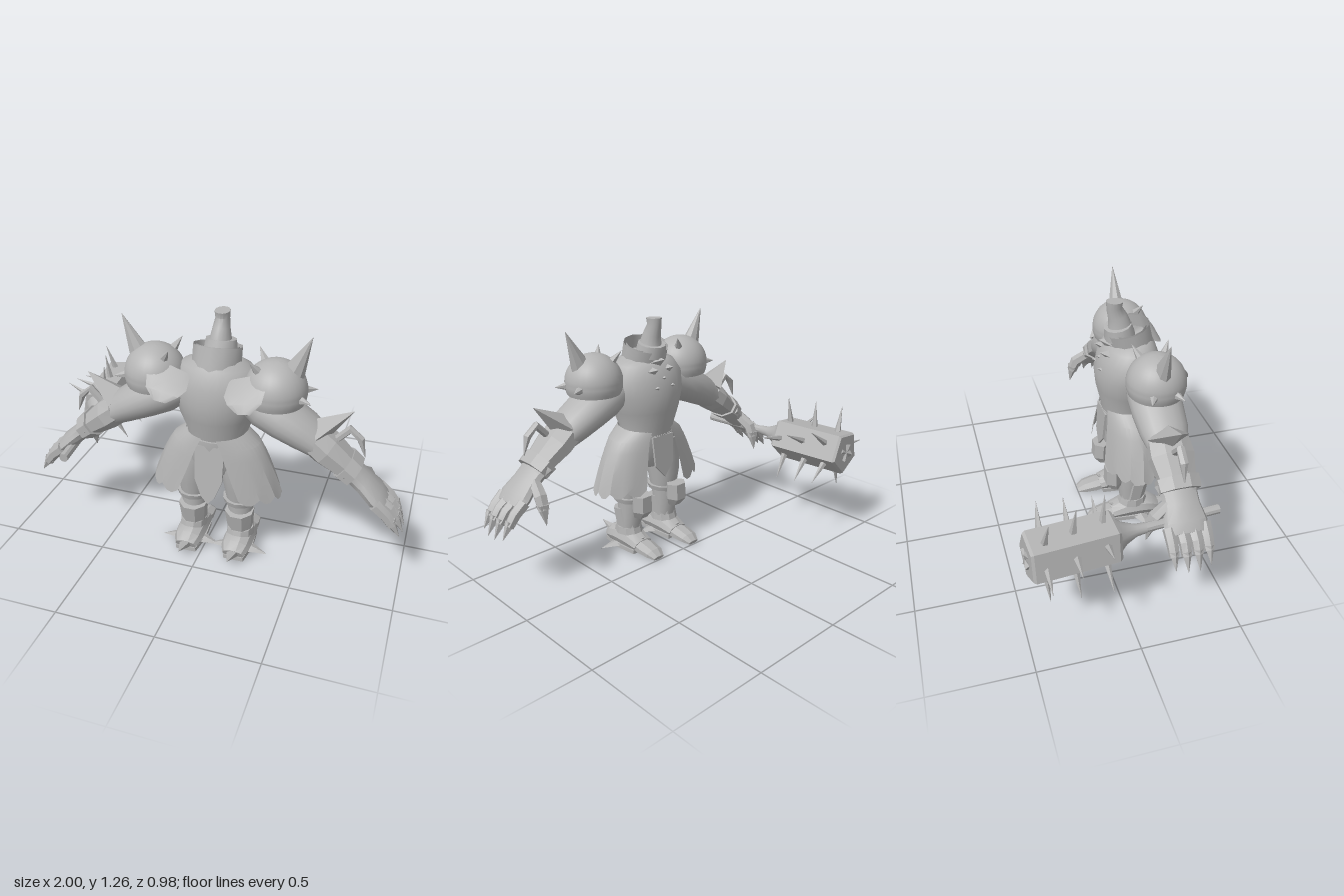
import * as THREE from 'three';
import { toCreasedNormals } from 'three/addons/utils/BufferGeometryUtils.js';

const CX = 0.05; // the body's own centre line
const steel = new THREE.MeshStandardMaterial({ color: 0xb4b4b4, side: THREE.DoubleSide });
steel.name = 'steel grey';

export function createModel() {
  const model = new THREE.Group();
  model.name = 'armouredWarrior';
  const V = (a) => new THREE.Vector3(a[0], a[1], a[2]);

  function add(name, geometry, crease = 0.8) {
    const mesh = new THREE.Mesh(toCreasedNormals(geometry, crease), steel);
    mesh.name = name;
    model.add(mesh);
    return mesh;
  }

  // Skin elliptical rings [x, y, z, radius across, radius in depth] along a path
  function loft(name, rings, sides = 16, crease = 0.8, phase = 0, capTop = true) {
    const pos = [], idx = [], n = rings.length;
    rings.forEach((r, i) => {
      const t = V(rings[Math.min(i + 1, n - 1)]).sub(V(rings[Math.max(i - 1, 0)])).normalize();
      const w = Math.abs(t.z) > 0.9 ? new THREE.Vector3(0, 1, 0) : new THREE.Vector3(0, 0, 1);
      w.addScaledVector(t, -w.dot(t)).normalize();
      const u = t.clone().cross(w);
      for (let j = 0; j < sides; j++) {
        const a = phase + (j / sides) * Math.PI * 2;
        const p = V(r).addScaledVector(u, Math.cos(a) * r[3]).addScaledVector(w, Math.sin(a) * (r[4] ?? r[3]));
        pos.push(p.x, p.y, p.z);
      }
    });
    for (let i = 0; i < n - 1; i++) for (let j = 0; j < sides; j++) {
      const k = (j + 1) % sides, a = i * sides, b = a + sides;
      idx.push(a + j, b + j, a + k, a + k, b + j, b + k);
    }
    const c = n * sides, last = c - sides;
    pos.push(...rings[0].slice(0, 3), ...rings[n - 1].slice(0, 3));
    for (let j = 0; j < sides; j++) {
      const k = (j + 1) % sides;
      idx.push(c, j, k);
      if (capTop) idx.push(c + 1, last + k, last + j);
    }
    const g = new THREE.BufferGeometry();
    g.setAttribute('position', new THREE.Float32BufferAttribute(pos, 3));
    g.setIndex(idx);
    return add(name, g, crease);
  }

  const spike = (name, base, tip, r, sides = 6, rw = r) =>
    loft(name, [[...base, r, rw], [...tip, 0.001, 0.001]], sides, 0.1);

  // Thin plate cut from an outline in the xy plane
  function plate(name, pts, depth, x, y, z, tilt) {
    const shape = new THREE.Shape(pts.map((p) => new THREE.Vector2(p[0], p[1])));
    const mesh = add(name, new THREE.ExtrudeGeometry(shape, { depth, bevelEnabled: false }), 0.1);
    mesh.position.set(x, y, z);
    mesh.rotation.x = tilt;
  }

  // Torso, hips, tilted collar and the horn rising from the neck
  loft('torso', [[CX, 0.6, 0.23, 0.15, 0.12], [CX, 0.68, 0.23, 0.15, 0.13], [CX, 0.78, 0.235, 0.185, 0.16],
    [CX, 0.87, 0.235, 0.21, 0.17], [CX, 0.96, 0.24, 0.215, 0.155], [CX, 1.03, 0.24, 0.17, 0.125],
    [CX, 1.06, 0.235, 0.11, 0.1]], 28, 1);
  loft('hips', [[CX, 0.47, 0.24, 0.12, 0.1], [CX, 0.55, 0.24, 0.17, 0.13], [CX, 0.66, 0.235, 0.16, 0.135]], 20);
  loft('collar', [[CX, 0.98, 0.26, 0.12, 0.115], [CX, 1.118, 0.225, 0.119, 0.115]], 12, 0.6, 0, false);
  loft('collarLining', [[CX, 1.04, 0.245, 0.1, 0.095], [CX, 1.118, 0.225, 0.105, 0.1]], 12, 0.6, 0, false);
  loft('neckBand', [[CX, 1.07, 0.19, 0.085, 0.08], [CX, 1.13, 0.178, 0.075, 0.07]], 12, 0.6);
  loft('horn', [[CX, 1.06, 0.195, 0.07, 0.075], [CX, 1.13, 0.188, 0.052, 0.06], [CX, 1.18, 0.175, 0.042, 0.048],
    [CX, 1.225, 0.158, 0.034, 0.039], [CX, 1.262, 0.16, 0.037, 0.043]], 16, 0.8);

  // Jagged plates down the nape
  for (let i = 0; i < 4; i++) {
    const y = 1.06 - i * 0.045, back = [0.083, 0.075, 0.07, 0.062][i];
    for (const dx of i % 2 ? [-0.05, 0.05] : [0]) {
      spike('napeSpine', [CX + dx, y - 0.03, 0.16], [CX + dx, y, back], 0.065, 4, 0.045);
    }
  }

  // Tabards in front and behind
  plate('frontTabard', [[-0.075, 0], [0.075, 0], [0.07, -0.18], [0.035, -0.27], [0, -0.31], [-0.035, -0.27], [-0.07, -0.18]],
    0.012, CX, 0.64, 0.355, -0.12);
  plate('rearTabard', [[-0.07, 0], [0.07, 0], [0.06, -0.16], [0, -0.23], [-0.06, -0.16]], 0.012, CX, 0.65, 0.1, 0.06);

  // Flared side panel of the skirt with a ragged hem
  function skirtPanel(s) {
    const cols = 18, rows = 6, pos = [], idx = [];
    for (let i = 0; i <= rows; i++) for (let j = 0; j <= cols; j++) {
      const v = i / rows, u = j / cols;
      const phi = 0.25 + 0.24 * v + u * (2.5 - 0.25 * v);
      const hem = v * v * (j % 3 === 0 ? 0.02 : -0.008);
      const rx = 0.15 + 0.185 * Math.pow(v, 0.55), rz = 0.14 + 0.035 * v;
      pos.push(CX + s * rx * Math.sin(phi), 0.69 - 0.33 * v + hem, 0.245 + rz * Math.cos(phi));
      if (i < rows && j < cols) {
        const a = i * (cols + 1) + j, b = a + cols + 1;
        idx.push(...(s > 0 ? [a, b, a + 1, a + 1, b, b + 1] : [a, a + 1, b, a + 1, b + 1, b]));
      }
    }
    const g = new THREE.BufferGeometry();
    g.setAttribute('position', new THREE.Float32BufferAttribute(pos, 3));
    g.setIndex(idx);
    add('skirtPanel', g, 0.4);
  }

  for (const s of [1, -1]) {
    const M = ([x, ...rest]) => [CX + s * x, ...rest];
    const L = (name, rings, ...o) => loft(name, rings.map(M), ...o);
    const K = (name, base, tip, ...o) => spike(name, M(base), M(tip), ...o);
    skirtPanel(s);

    // Shoulder dome with one great spike and four small ones
    const ball = [0.295, 0.96, 0.285];
    add('shoulderDome', new THREE.SphereGeometry(0.148, 28, 18, 0, Math.PI * 2, 0, Math.PI * 0.62), 1)
      .position.set(...M(ball));
    K('greatSpike', [0.37, 1.045, 0.285], [0.452, 1.237, 0.285], 0.056, 8, 0.042);
    for (const tip of [[0.19, 1.12, 0.375], [0.19, 1.12, 0.19], [0.475, 0.95, 0.365], [0.475, 0.95, 0.205]]) {
      const dir = V(tip).sub(V(ball)).normalize();
      K('smallSpike', V(ball).addScaledVector(dir, 0.135).toArray(), tip, 0.024);
    }
    L('chestFlap', [[0.17, 1.03, 0.35, 0.08, 0.005], [0.185, 0.985, 0.42, 0.1, 0.005],
      [0.195, 0.95, 0.455, 0.08, 0.005], [0.2, 0.912, 0.478, 0.03, 0.004]], 8, 0.4);

    // Arm, elbow guard and gauntlet
    L('upperArm', [[0.17, 0.91, 0.27, 0.09, 0.1], [0.25, 0.87, 0.28, 0.105, 0.125], [0.34, 0.825, 0.285, 0.1, 0.13],
      [0.44, 0.77, 0.285, 0.088, 0.12], [0.56, 0.69, 0.285, 0.06, 0.085]], 20, 1);
    L('forearmGuard', [[0.49, 0.745, 0.285, 0.08, 0.108], [0.55, 0.7, 0.285, 0.08, 0.115],
      [0.66, 0.615, 0.285, 0.06, 0.09]], 8, 0.1, Math.PI / 8);
    L('cuff', [[0.635, 0.635, 0.285, 0.074, 0.112], [0.685, 0.597, 0.285, 0.068, 0.108]], 8, 0.1, Math.PI / 8);
    K('elbowSpike', [0.51, 0.785, 0.28], [0.66, 0.905, 0.28], 0.06, 4, 0.105);
    L('forearmHook', [[0.57, 0.73, 0.285, 0.018, 0.022], [0.65, 0.815, 0.285, 0.02, 0.022],
      [0.7, 0.77, 0.285, 0.018, 0.022], [0.727, 0.68, 0.285, 0.002, 0.003]], 6, 0.3);
    L('glove', [[0.65, 0.617, 0.28, 0.05, 0.11], [0.69, 0.585, 0.28, 0.045, 0.09], [0.73, 0.55, 0.28, 0.044, 0.09],
      [0.79, 0.495, 0.28, 0.045, 0.108], [0.83, 0.46, 0.28, 0.032, 0.1]], 12, 0.6);
    [0.195, 0.252, 0.31, 0.368].forEach((z, i) => {
      const reach = i === 0 || i === 3 ? -0.012 : 0;
      L('finger', [[0.8, 0.485, z, 0.032], [0.865 + reach, 0.44, z, 0.029], [0.902 + reach, 0.39, z, 0.025]], 6, 0.3);
      K('claw', [0.89 + reach, 0.41, z], [0.94 + reach, 0.32 - reach, z], 0.03, 5, 0.026);
    });
    L('thumb', [[0.72, 0.56, 0.22, 0.03], [0.735, 0.51, 0.15, 0.034], [0.737, 0.45, 0.125, 0.03]], 6, 0.4);
    K('thumbClaw', [0.737, 0.48, 0.13], [0.737, 0.375, 0.11], 0.036, 5);

    // Leg, knee guard and greave
    L('thigh', [[0.1, 0.6, 0.24, 0.09, 0.1], [0.118, 0.48, 0.245, 0.095, 0.1], [0.123, 0.38, 0.24, 0.085, 0.09],
      [0.123, 0.29, 0.24, 0.07, 0.075]], 18, 1);
    L('kneeRing', [[0.123, 0.282, 0.24, 0.083, 0.088], [0.123, 0.308, 0.24, 0.09, 0.095]], 12, 0.6);
    L('shin', [[0.123, 0.3, 0.235, 0.072, 0.075], [0.125, 0.2, 0.235, 0.064, 0.067], [0.128, 0.07, 0.25, 0.058, 0.062]], 14);
    L('greave', [[0.126, 0.12, 0.245, 0.066, 0.07], [0.125, 0.235, 0.262, 0.076, 0.074]], 8, 0.1, Math.PI / 8);
    L('calfGuard', [[0.123, 0.21, 0.15, 0.045, 0.03], [0.123, 0.25, 0.137, 0.062, 0.052],
      [0.123, 0.335, 0.137, 0.06, 0.05]], 6, 0.1);

    // Clawed boot
    L('boot', [[0.128, 0.04, 0.13, 0.062, 0.035], [0.128, 0.058, 0.21, 0.074, 0.056],
      [0.128, 0.062, 0.28, 0.078, 0.06], [0.128, 0.052, 0.345, 0.074, 0.05], [0.128, 0.036, 0.385, 0.056, 0.034]], 10, 0.4);
    L('sole', [[0.128, 0.012, 0.14, 0.085, 0.016], [0.128, 0.012, 0.26, 0.1, 0.016],
      [0.128, 0.012, 0.385, 0.075, 0.016]], 4, 0.1, Math.PI / 4);
    L('ankleBand', [[0.128, 0.09, 0.25, 0.072, 0.085], [0.128, 0.13, 0.25, 0.068, 0.072]], 10, 0.4);
    K('toeClaw', [0.128, 0.04, 0.36], [0.128, 0.068, 0.485], 0.04, 5, 0.03);
    for (const side of [1, -1]) K('sideSpur', [0.128 + side * 0.05, 0.018, 0.28], [0.128 + side * 0.155, 0.01, 0.3], 0.016, 4, 0.045);
    L('heelPlate', [[0.128, 0.045, 0.2, 0.055, 0.036], [0.128, 0.034, 0.1, 0.062, 0.034],
      [0.128, 0.026, 0.04, 0.055, 0.026], [0.128, 0.012, 0.002, 0.035, 0.012]], 8, 0.2, Math.PI / 8);
    K('heelSpur', [0.128, 0.05, 0.17], [0.128, 0.092, 0.115], 0.035, 4, 0.02);
  }

  // Five-sided spiked club held in the right hand, its axis running backwards
  const axis = (z) => [-0.733 + 0.09 * z, 0.493, z];
  const corner = 1.065;
  loft('clubHandle', [[...axis(0.465), 0.023], [...axis(0.06), 0.023]], 10, 0.6);
  loft('clubNeck', [[...axis(0.09), 0.026], [...axis(0.04), 0.03], [...axis(-0.02), 0.055], [...axis(-0.065), 0.09]], 14, 0.8);
  loft('clubHead', [[...axis(-0.06), 0.112], [...axis(-0.075), 0.125], [...axis(-0.465), 0.125], [...axis(-0.478), 0.115]],
    5, 0.1, corner);
  [-0.12, -0.265, -0.4].forEach((z, ring) => {
    for (let i = 0; i < 5; i++) {
      const a = corner + (ring - 1) * 0.2 + ((i + 0.5) / 5) * Math.PI * 2;
      const at = (r, dz) => {
        const p = axis(z + dz);
        return [p[0] + Math.cos(a) * r, p[1] + Math.sin(a) * r, p[2]];
      };
      spike('clubSpike', at(0.085, 0), at(0.242, i % 2 ? -0.012 : 0.012), 0.02, 5);
    }
  });
  for (let i = 0; i < 4; i++) {
    const a = 0.4 + i * Math.PI / 2, p = axis(-0.474);
    spike('clubEndStud', [p[0] + Math.cos(a) * 0.045, p[1] + Math.sin(a) * 0.045, p[2]], axis(-0.486), 0.02, 4);
  }
  return model;
}
